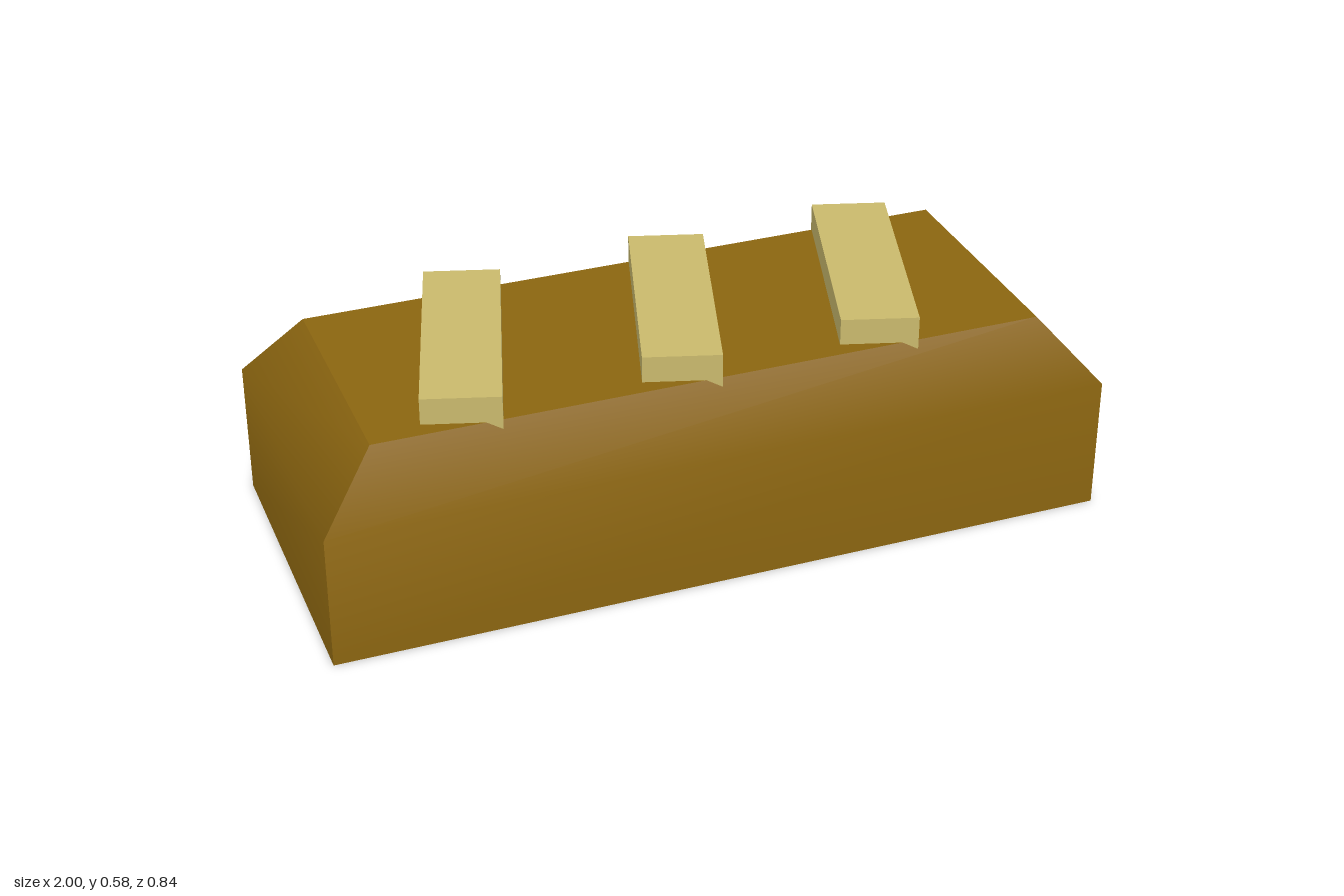
import * as THREE from 'three';

// Half sizes and heights of the loaf shell
const HX = 1, HZ = 0.418, SHOULDER = 0.348;
const TX = 0.855, TZ = 0.318, TOP = 0.517;

// Strip of quads between successive left/right point pairs, smooth within the strip
function strip(pairs, material, name) {
  const geometry = new THREE.BufferGeometry();
  geometry.setAttribute('position', new THREE.Float32BufferAttribute(pairs.flat(2), 3));
  const index = [];
  for (let i = 0; i < pairs.length - 1; i++) {
    const a = i * 2;
    index.push(a, a + 1, a + 3, a, a + 3, a + 2);
  }
  geometry.setIndex(index);
  geometry.computeVertexNormals();
  const mesh = new THREE.Mesh(geometry, material);
  mesh.name = name;
  return mesh;
}

// Wall of half width w at distance d, sloping in above the shoulder
function wall(w, d, tw, td, angle, material, name) {
  const pairs = [[w, 0, d], [w, SHOULDER, d], [tw, TOP, td]].map(([x, y, z]) => [[-x, y, z], [x, y, z]]);
  const mesh = strip(pairs, material, name);
  mesh.rotation.y = angle;
  return mesh;
}

export function createModel() {
  const crust = new THREE.MeshStandardMaterial({ color: 0x8b6510, side: THREE.DoubleSide });
  crust.name = 'brown crust';
  const pale = new THREE.MeshStandardMaterial({ color: 0xc9b96c });
  pale.name = 'pale slats';

  const model = new THREE.Group();
  model.name = 'loaf';

  // Hollow body, open underneath
  const body = new THREE.Group();
  body.name = 'body';
  body.add(
    wall(HX, HZ, TX, TZ, 0, crust, 'frontWall'),
    wall(HX, HZ, TX, TZ, Math.PI, crust, 'backWall'),
    wall(HZ, HX, TZ, TX, Math.PI / 2, crust, 'leftWall'),
    wall(HZ, HX, TZ, TX, -Math.PI / 2, crust, 'rightWall'),
    strip([[[-TX, TOP, TZ], [TX, TOP, TZ]], [[-TX, TOP, -TZ], [TX, TOP, -TZ]]], crust, 'topFace')
  );
  model.add(body);

  // Slanted slats sunk through the top
  const slatGeometry = new THREE.BoxGeometry(0.193, 0.12, 0.63);
  [-0.538, 0.01, 0.525].forEach((x, i) => {
    const slat = new THREE.Mesh(slatGeometry, pale);
    slat.name = `slat${i + 1}`;
    slat.position.set(x, 0.525, 0);
    slat.rotation.y = -0.297;
    model.add(slat);
  });
  return model;
}
